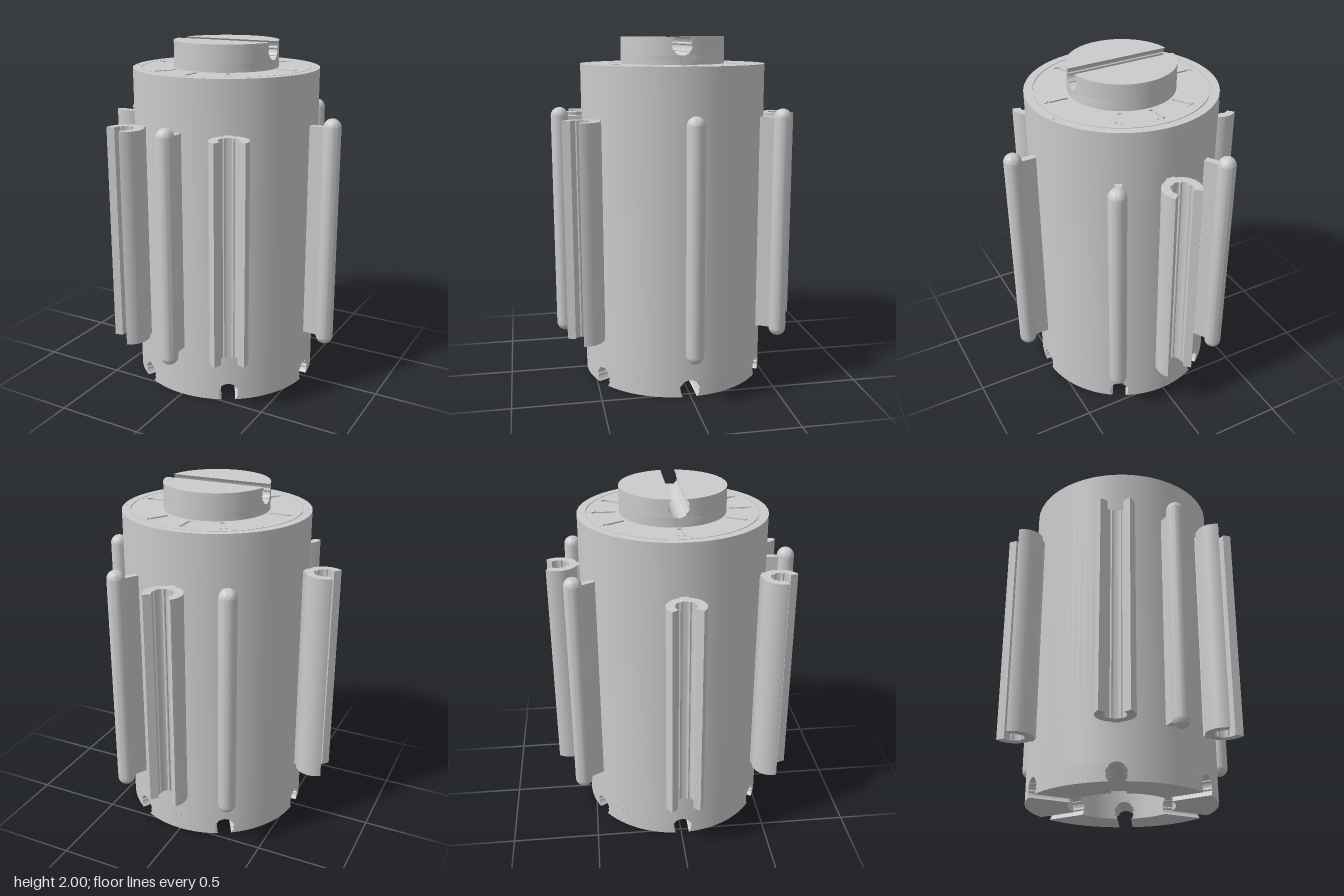
import * as THREE from 'three';
import { toCreasedNormals } from 'three/addons/utils/BufferGeometryUtils.js';

const R = 0.535, HUB = 0.3, TOP = 1.85, ENGRAVE = 0.008;
const rad = THREE.MathUtils.degToRad;
const material = new THREE.MeshStandardMaterial({ color: 0xcccccc });

function add(parent, name, geometry, crease = 0.6) {
  const mesh = new THREE.Mesh(toCreasedNormals(geometry, crease), material);
  mesh.name = name;
  parent.add(mesh);
  return mesh;
}

// Extrude a plan shape (x, -z) upward from y0 to y1
function extrudeUp(shape, y0, y1) {
  const g = new THREE.ExtrudeGeometry(shape, { depth: y1 - y0, bevelEnabled: false, curveSegments: 96 });
  return g.rotateX(-Math.PI / 2).translate(0, y0, 0);
}

// Loft a stack of plan sections, each with matching outer and inner point rows
function loft(sections, capTop) {
  const pos = [];
  const tri = (...pts) => pts.forEach((p) => pos.push(p.x, p.y, p.z));
  const rings = sections.map((s) => [...s.outer, ...[...s.inner].reverse()]);
  for (let j = 0; j < rings.length - 1; j++) {
    const lo = rings[j], hi = rings[j + 1], n = lo.length;
    for (let i = 0; i < n; i++) {
      const k = (i + 1) % n;
      tri(lo[i], hi[i], lo[k]);
      tri(lo[k], hi[i], hi[k]);
    }
  }
  const cap = ({ outer: o, inner: q }, up) => {
    for (let i = 0; i < o.length - 1; i++) {
      if (up) { tri(o[i], q[i], o[i + 1]); tri(o[i + 1], q[i], q[i + 1]); }
      else { tri(o[i], o[i + 1], q[i]); tri(o[i + 1], q[i + 1], q[i]); }
    }
  };
  cap(sections[0], false);
  if (capTop) cap(sections[sections.length - 1], true);
  const g = new THREE.BufferGeometry();
  g.setAttribute('position', new THREE.Float32BufferAttribute(pos, 3));
  return g;
}

// Keyhole slot: rows of depth below the open face and half width, open face first
function slotProfile() {
  const r = 0.058, centre = 0.042, rows = [], n = 24;
  const end = Math.PI - Math.acos(centre / r);
  for (let i = n; i >= 0; i--) {
    const a = (i / n) * end;
    const rib = i === 9 || i === 10 || i === 16 || i === 17 ? 0.9 : 1;
    rows.push({ depth: centre + r * Math.cos(a), half: i === 0 ? 0 : r * Math.sin(a) * rib });
  }
  return rows;
}

function arc(r, a0, a1, y, n = 24) {
  return Array.from({ length: n + 1 }, (_, i) => {
    const a = a0 + ((a1 - a0) * i) / n;
    return new THREE.Vector3(r * Math.cos(a), y, r * Math.sin(a));
  });
}

// C-shaped clip opening along +x, with small ribs on its inner wall
function clipShape() {
  const pts = [], gap = rad(49), n = 48;
  const angle = (i) => gap + ((Math.PI * 2 - gap * 2) * i) / n;
  const at = (r, a) => pts.push(new THREE.Vector2(r * Math.cos(a), r * Math.sin(a)));
  for (let i = 0; i <= n; i++) at(0.107, angle(i));
  for (let i = n; i >= 0; i--) {
    const rib = [9, 10, 19, 20, 28, 29, 38, 39].includes(i);
    at(rib ? 0.054 : 0.06, angle(i));
  }
  return new THREE.Shape(pts);
}

// Arrow outline pointing away from the axis at the given angle
function arrowPath(deg) {
  const half = [[0.32, 0.011], [0.426, 0.011], [0.426, 0.026], [0.459, 0]];
  const back = half.slice(0, 3).reverse().map(([x, y]) => [x, -y]);
  const centre = new THREE.Vector2();
  return new THREE.Path([...half, ...back].map(([x, y]) =>
    new THREE.Vector2(x, y).rotateAround(centre, rad(deg))));
}

function circle(Type, r, x = 0, y = 0) {
  const path = new Type();
  path.absarc(x, y, r, 0, Math.PI * 2, false);
  return path;
}

export function createModel() {
  const group = new THREE.Group();
  const model = new THREE.Group();
  model.name = 'container';
  model.position.set(0.005, 0, 0.005);
  group.add(model);
  const slot = slotProfile();
  const slotDepth = slot[0].depth > slot[slot.length - 1].depth ? slot[0].depth : slot[slot.length - 1].depth;

  // Main drum with a recessed underside
  const profile = [[0, 0.165], [HUB, 0.165], [HUB, slotDepth], [R, slotDepth], [R, TOP - ENGRAVE], [0, TOP - ENGRAVE]];
  add(model, 'body', new THREE.LatheGeometry(profile.map(([x, y]) => new THREE.Vector2(x, y)), 96));

  // Foot ring: six blocks separated by radial keyhole slots
  for (let i = 0; i < 6; i++) {
    const a = rad(60 * i), b = a + rad(60);
    const sections = slot.map(({ depth, half }) => {
      const o = Math.asin(half / R), q = Math.asin(half / HUB);
      return { outer: arc(R, a + o, b - o, depth), inner: arc(HUB, a + q, b - q, depth) };
    });
    add(model, 'footBlock', loft(sections, false));
  }

  // Top plate engraved with arrows, and its rim beyond a fine circular groove
  const plate = circle(THREE.Shape, 0.482);
  for (const deg of [0, 60, 90, 120, 180, 240, 270, 300]) plate.holes.push(arrowPath(deg));
  add(model, 'topPlate', extrudeUp(plate, TOP - ENGRAVE, TOP));
  const rim = circle(THREE.Shape, R);
  rim.holes.push(circle(THREE.Path, 0.487));
  for (const deg of [20, 200]) {
    rim.holes.push(circle(THREE.Path, 0.006, 0.513 * Math.cos(rad(deg)), 0.513 * Math.sin(rad(deg))));
  }
  add(model, 'topRim', extrudeUp(rim, TOP - ENGRAVE, TOP));

  // Knob: two half discs with a keyhole slot between them
  const rows = [{ y: TOP, half: 0 }, ...[...slot].reverse().map((s) => ({ y: 2 - s.depth, half: s.half }))];
  for (const side of [0, 1]) {
    const sections = rows.map(({ y, half }) => {
      const t = Math.asin(half / HUB);
      const outer = arc(HUB, t, Math.PI - t, y, 48);
      return { outer, inner: outer.map((p) => new THREE.Vector3(p.x, y, half)) };
    });
    add(model, 'knobHalf', loft(sections, true)).rotation.y = side * Math.PI;
  }

  // Clips and round-ended rails around the drum, each on a thin web
  const fixture = (name, deg) => {
    const g = new THREE.Group();
    g.name = name;
    g.rotation.y = rad(deg);
    model.add(g);
    return g;
  };
  const web = (parent, to, width) => {
    const from = R - 0.02;
    add(parent, 'web', new THREE.BoxGeometry(to - from, 1.25, width)).position.set((from + to) / 2, 0.93, 0);
  };
  for (const deg of [90, 180, 240, 300]) {
    const g = fixture('clip', deg);
    web(g, 0.56, 0.048);
    add(g, 'clipJaw', extrudeUp(clipShape(), 0.305, 1.555)).position.x = 0.652;
  }
  for (const deg of [0, 60, 120, 270]) {
    const g = fixture('rail', deg);
    web(g, 0.64, 0.038);
    add(g, 'railRod', new THREE.CapsuleGeometry(0.05, 1.25, 10, 28)).position.set(0.662, 0.93, 0);
  }
  return group;
}
